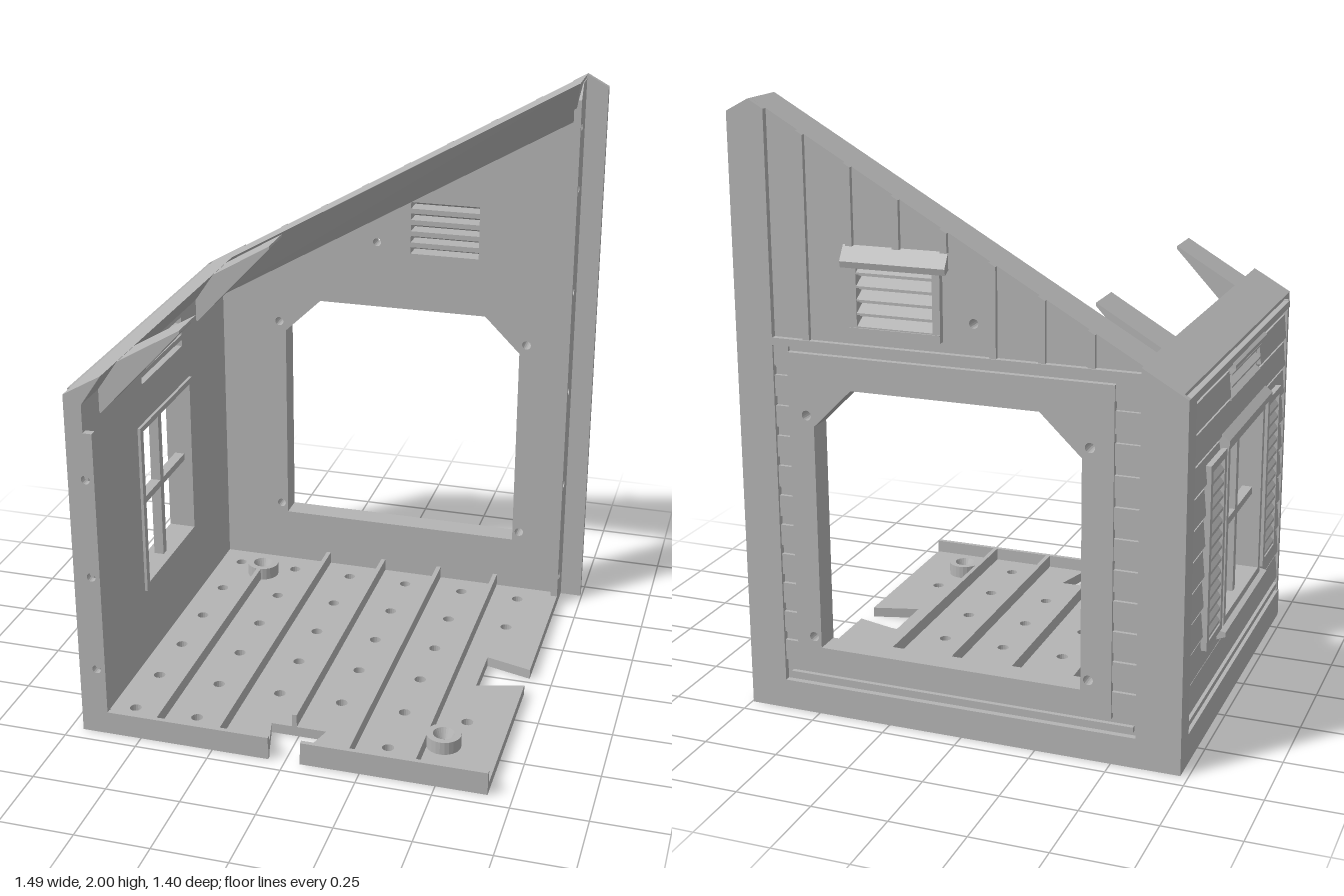
import * as THREE from 'three';
import { ConvexGeometry } from 'three/addons/geometries/ConvexGeometry.js';

const grey = new THREE.MeshStandardMaterial({ color: 0xb4b4b4 });
grey.name = 'plain grey';

// height of the sloping roof line above x
const roof = (x) => 2 + (x - 0.67) * 0.5755;

function poly(points, holes = []) {
  const s = new THREE.Shape(points.map((p) => new THREE.Vector2(p[0], p[1])));
  for (const h of holes) s.holes.push(h);
  return s;
}
const path = (pts) => new THREE.Path(pts.map((p) => new THREE.Vector2(p[0], p[1])));
const rect = (a0, a1, b0, b1) => [[a0, b0], [a1, b0], [a1, b1], [a0, b1]];
const circle = (x, y, r) => new THREE.Path().absarc(x, y, r, 0, Math.PI * 2, true);

export function createModel() {
  const model = new THREE.Group();
  let part;
  const begin = (name) => {
    part = new THREE.Group();
    part.name = name;
    model.add(part);
  };
  const add = (name, geo) => {
    const m = new THREE.Mesh(geo, grey);
    m.name = name;
    part.add(m);
    return m;
  };
  const box = (name, x0, x1, y0, y1, z0, z1) => add(name, new THREE.BoxGeometry(x1 - x0, y1 - y0, z1 - z0)
    .translate((x0 + x1) / 2, (y0 + y1) / 2, (z0 + z1) / 2));
  const hull = (name, pts) => add(name, new ConvexGeometry(pts.map((p) => new THREE.Vector3(...p))));
  // cross-section in x,y carried along z, and in z,y carried along x
  const alongZ = (name, xy, z0, z1) => hull(name, [z0, z1].flatMap((z) => xy.map(([x, y]) => [x, y, z])));
  const alongX = (name, zy, x0, x1) => hull(name, [x0, x1].flatMap((x) => zy.map(([z, y]) => [x, y, z])));
  const extrude = (shape, depth) => new THREE.ExtrudeGeometry(shape, { depth, bevelEnabled: false, curveSegments: 8 });
  const plateZ = (name, shape, z0, z1) => add(name, extrude(shape, z1 - z0).translate(0, 0, z0));
  const plateX = (name, shape, x0, x1) => add(name, extrude(shape, x1 - x0).rotateY(-Math.PI / 2).translate(x1, 0, 0));
  const plateY = (name, shape, y0, y1) => add(name, extrude(shape, y1 - y0).rotateX(Math.PI / 2).translate(0, y1, 0));

  // ---- floor tray with peg holes, two dovetail notches, ribs and bosses
  begin('floor');
  const bosses = [[0.485, 0.515], [-0.455, -0.46]];
  const pegs = bosses.map(([x, z]) => circle(x, z, 0.02));
  [-0.565, -0.345, -0.125, 0.095, 0.315, 0.53].forEach((x, i) => {
    [-0.52, -0.3, -0.08, 0.14, 0.36, 0.58].forEach((z, j) => {
      const notched = (j === 5 && [2, 3, 5].includes(i)) || (i === 5 && (j === 2 || j === 3));
      if (!notched) pegs.push(circle(x, z, 0.02));
    });
  });
  plateY('floorPlate', poly([[-0.66, -0.63], [0.67, -0.63], [0.67, -0.025], [0.51, -0.07], [0.51, 0.125],
    [0.67, 0.08], [0.67, 0.7], [0.05, 0.7], [0.095, 0.545], [-0.095, 0.545], [-0.055, 0.7], [-0.66, 0.7]], pegs), 0, 0.035);
  for (const x of [-0.455, -0.235, -0.015, 0.205, 0.425]) {
    const start = x < -0.4 ? -0.41 : -0.62;
    box('floorRib', x - 0.008, x + 0.008, 0.03, 0.08, start, x === -0.015 ? 0.545 : 0.69);
  }
  box('frontRim', -0.63, -0.057, 0, 0.08, 0.684, 0.7);
  box('frontRim', 0.052, 0.67, 0, 0.08, 0.684, 0.7);
  for (const [x, z] of bosses) {
    const ring = [[0.02, 0.03], [0.058, 0.03], [0.058, 0.08], [0.036, 0.08], [0.02, 0.045], [0.02, 0.03]];
    const geo = new THREE.LatheGeometry(ring.map((p) => new THREE.Vector2(...p)), 24).toNonIndexed();
    geo.computeVertexNormals();
    add('boss', geo.translate(x, 0, z));
  }

  // ---- back wall with large opening
  begin('backWall');
  const opening = () => path([[-0.4, 0.235], [-0.4, 0.985], [-0.265, 1.115], [0.355, 1.115], [0.485, 0.985], [0.485, 0.235]]);
  const bolts = () => [[-0.425, 1.02], [0.51, 1.02], [-0.425, 0.27], [0.51, 0.27]].map(([x, y]) => circle(x, y, 0.016));
  const slots = [1.34, 1.382, 1.424, 1.466, 1.508];
  plateZ('wallPanel', poly([[-0.705, 0], [0.645, 0], [0.645, roof(0.645)], [-0.705, roof(-0.705)]],
    [opening(), ...bolts(), circle(-0.05, 1.36, 0.015),
      ...slots.map((y) => path(rect(0.075, 0.325, y - 0.012, y + 0.012)))]), -0.675, -0.61);
  plateX('wallEnd', poly([[-0.675, 0], [-0.58, 0], [-0.58, 1.93], [-0.61, 1.985], [-0.675, 1.985]],
    [0.11, 0.49, 0.86, 1.24, 1.615, 1.835].map((y) => circle(-0.61, y, 0.014))), 0.645, 0.67);
  // overhanging bevelled rake
  const a = -0.645;
  hull('rakeLip', [[a, roof(a), -0.63], [a, roof(a), -0.525], [a, roof(a) - 0.14, -0.61], [a, roof(a) - 0.14, -0.63],
    [0.67, 2, -0.675], [0.67, 2, -0.525], [0.645, 1.85, -0.61], [0.645, 1.85, -0.63]]);
  // outer frame, flush door plate
  plateZ('outerFrame', poly([[-0.725, 0], [0.745, 0], [0.745, 1.96], [0.67, 2], [0.62, roof(0.62)], [0.62, 0.1],
    [-0.58, 0.1], [-0.58, roof(-0.58)], [-0.725, roof(-0.725)]]), -0.695, -0.675);
  plateZ('openingPlate', poly(rect(-0.5, 0.57, 0.15, 1.22), [opening(), ...bolts()]), -0.695, -0.675);
  box('bottomLath', -0.57, 0.6, 0.115, 0.133, -0.69, -0.675);
  for (let y = 0.17; y < 1.2; y += 0.1) {
    box('sidingEnd', -0.58, -0.5, y, y + 0.07, -0.687, -0.675);
    box('sidingEnd', 0.57, 0.62, y, y + 0.07, -0.687, -0.675);
  }
  // gable ledge and battens
  box('gableLedge', -0.58, 0.62, 1.238, 1.262, -0.695, -0.675);
  for (let i = 0; i < 7; i++) {
    const x = -0.425 + i * 0.155;
    const top = [[x - 0.011, roof(x - 0.011)], [x + 0.011, roof(x + 0.011)]];
    const inVent = x > 0.03 && x < 0.38;
    if (inVent) alongZ('batten', [[x - 0.011, 1.57], [x + 0.011, 1.57], ...top], -0.69, -0.67);
    else alongZ('batten', [[x - 0.011, 1.25], [x + 0.011, 1.25], ...top], -0.69, -0.67);
  }
  // louvred vent
  for (const x of [0.05, 0.325]) box('ventJamb', x, x + 0.025, 1.3, 1.53, -0.697, -0.67);
  box('ventSill', 0.05, 0.35, 1.295, 1.32, -0.7, -0.67);
  alongX('ventHood', [[-0.67, 1.58], [-0.705, 1.525], [-0.7, 1.505], [-0.67, 1.52]], 0.03, 0.375);
  for (const y of slots) {
    alongX('ventSlat', [[-0.64, y + 0.016], [-0.64, y + 0.01], [-0.695, y - 0.022], [-0.695, y - 0.016]], 0.07, 0.33);
  }

  // ---- side wall with window
  begin('sideWall');
  const windowHole = () => path(rect(-0.205, 0.24, 0.33, 0.9));
  const sideSlots = [1.07, 1.112, 1.154];
  plateX('wallPanel', poly(rect(-0.675, 0.675, 0, 1.185),
    [windowHole(), ...sideSlots.map((y) => path(rect(-0.17, 0.21, y - 0.012, y + 0.012)))]), -0.705, -0.645);
  plateZ('wallEnd', poly([[-0.705, 0], [-0.615, 0], [-0.615, 1.085], [-0.645, 1.085], [-0.645, 1.185], [-0.705, 1.185]],
    [0.24, 0.58, 0.925].map((y) => circle(-0.645, y, 0.015))), 0.675, 0.7);
  alongZ('eaveLip', [[-0.705, 1.18], [-0.645, 1.18], [-0.575, roof(-0.575)], [-0.705, roof(-0.705)]], -0.675, 0.7);
  // outer frame: corner post, base board, front post, eave strip
  box('cornerPost', -0.725, -0.705, 0, roof(-0.725), -0.695, -0.61);
  box('baseBoard', -0.725, -0.705, 0, 0.1, -0.61, 0.62);
  box('bottomLath', -0.72, -0.705, 0.115, 0.133, -0.6, 0.6);
  box('frontPost', -0.722, -0.705, 0, roof(-0.722), 0.6, 0.62);
  box('eaveStrip', -0.725, -0.705, 1.172, roof(-0.725), -0.61, 0.62);
  // overlapping siding boards, left out around window and vent
  for (let i = 0; i < 10; i++) {
    const y = 0.155 + i * 0.101;
    let runs = [[-0.61, 0.6]];
    if (y > 0.22 && y < 0.95) runs = [[-0.61, -0.22], [0.255, 0.6]];
    if (y > 1) runs = [[-0.61, -0.18], [0.22, 0.6]];
    for (const [z0, z1] of runs) {
      alongZ('sidingBoard', [[-0.7, y], [-0.72, y], [-0.712, y + 0.084], [-0.7, y + 0.084]], z0, z1);
    }
  }
  // louvred vent and its hood
  for (const y of sideSlots) {
    alongZ('ventSlat', [[-0.67, y + 0.016], [-0.67, y + 0.01], [-0.72, y - 0.022], [-0.72, y - 0.016]], -0.175, 0.215);
  }
  alongZ('ventHood', [[-0.7, 1.195], [-0.735, 1.17], [-0.735, 1.158], [-0.7, 1.165]], -0.19, 0.23);

  // window frame, bars, head and sill
  begin('window');
  plateX('windowFrame', poly(rect(-0.23, 0.265, 0.305, 0.92), [windowHole()]), -0.73, -0.635);
  box('verticalBar', -0.7, -0.665, 0.33, 0.9, 0.003, 0.033);
  box('crossBar', -0.7, -0.665, 0.598, 0.623, -0.205, 0.24);
  alongZ('windowHead', [[-0.7, 0.985], [-0.745, 0.95], [-0.745, 0.93], [-0.7, 0.92]], -0.28, 0.3);
  alongZ('windowSill', [[-0.7, 0.31], [-0.748, 0.3], [-0.748, 0.285], [-0.7, 0.265]], -0.27, 0.3);

  // louvred shutters
  begin('shutters');
  for (const [z0, z1] of [[-0.45, -0.26], [0.3, 0.49]]) {
    plateX('shutterFrame', poly(rect(z0, z1, 0.31, 0.92), [path(rect(z0 + 0.025, z1 - 0.025, 0.335, 0.895))]), -0.733, -0.7);
    box('shutterBack', -0.714, -0.7, 0.32, 0.91, z0 + 0.01, z1 - 0.01);
    for (let i = 0; i < 13; i++) {
      const y = 0.34 + i * 0.0425;
      alongZ('shutterSlat', [[-0.71, y], [-0.731, y], [-0.731, y + 0.01], [-0.71, y + 0.036]], z0 + 0.02, z1 - 0.02);
    }
  }

  // ---- wedge brackets that carry the roof
  begin('roofBrackets');
  for (const [z0, z1] of [[-0.47, -0.32], [0.415, 0.565]]) {
    alongZ('bracket', [[-0.365, 1.405], [-0.66, roof(-0.66) - 0.003], [-0.66, 1.1], [-0.64, 1.1], [-0.365, 1.395]], z0, z1);
  }
  return model;
}
